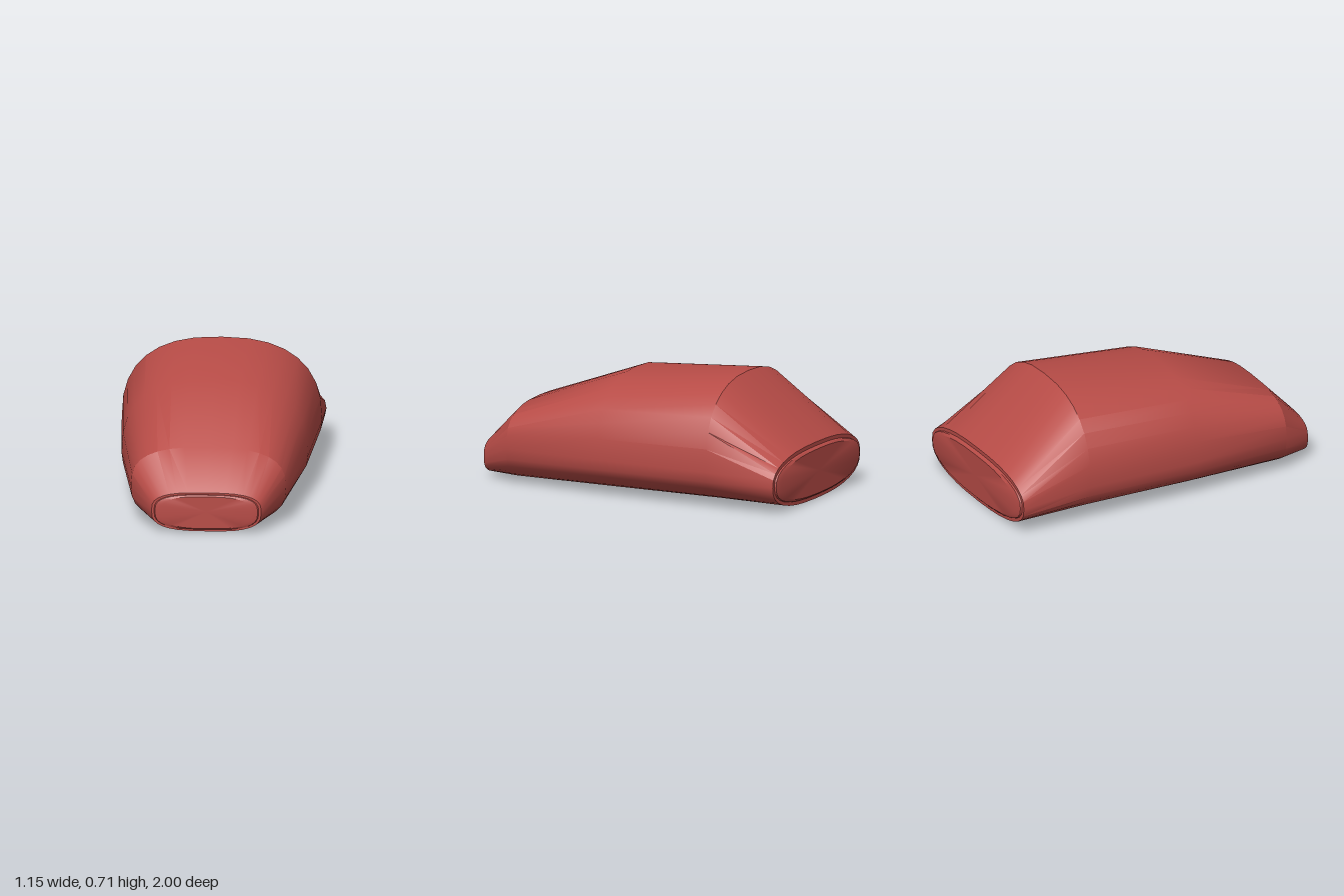
import * as THREE from 'three';
import { toCreasedNormals } from 'three/addons/utils/BufferGeometryUtils.js';

const SIDES = 32;

// Superellipse outline: half width, bottom, widest height, top, exponent
function ring({ z, w, bottom = 0, mid, top, n = 2.5 }) {
  const pow = (v) => Math.sign(v) * Math.abs(v) ** (2 / n);
  const points = [];
  for (let i = 0; i < SIDES; i++) {
    const t = (i / SIDES) * Math.PI * 2;
    const s = Math.sin(t);
    const h = s > 0 ? top - mid : mid - bottom;
    points.push(w * pow(Math.cos(t)), mid + h * pow(s), z);
  }
  return points;
}

// Skin over outlines listed from back to front
function loft(sections) {
  const index = [];
  for (let i = 0; i < sections.length - 1; i++) {
    for (let j = 0; j < SIDES; j++) {
      const k = (j + 1) % SIDES;
      const a = i * SIDES + j, b = i * SIDES + k;
      const c = a + SIDES, d = b + SIDES;
      index.push(a, b, c, b, d, c);
    }
  }
  const geometry = new THREE.BufferGeometry();
  geometry.setAttribute('position', new THREE.Float32BufferAttribute(sections.flatMap(ring), 3));
  geometry.setIndex(index);
  return toCreasedNormals(geometry, 0.5);
}

// Outline shrunk by an inset in x and y
const inset = (s, z, dx, dy) => ({ ...s, z, w: s.w - dx, bottom: s.bottom + dy, top: s.top - dy });
// Outline collapsed to a point, closing a flat end
const pole = (s, z = s.z) => ({ ...s, z, w: 0, bottom: s.mid, top: s.mid });

export function createModel() {
  const group = new THREE.Group();
  group.name = 'shell';
  const material = new THREE.MeshStandardMaterial({ color: 0xb84c47 });
  const add = (name, sections) => {
    const mesh = new THREE.Mesh(loft(sections), material);
    mesh.name = name;
    group.add(mesh);
  };

  const rear = { z: -0.98, w: 0.575, bottom: 0, mid: 0.165, top: 0.33 };
  const nose = { z: 0.985, w: 0.315, bottom: 0.005, mid: 0.125, top: 0.235, n: 3 };

  // Main body with its ends closed
  add('body', [
    pole(rear),
    rear,
    { z: -0.55, w: 0.575, mid: 0.22, top: 0.71 },
    { z: 0.16, w: 0.535, mid: 0.22, top: 0.67 },
    { z: 0.78, w: 0.445, mid: 0.21, top: 0.445, n: 2.8 },
    nose,
    pole(nose),
  ]);

  // Shallow end plates set in from the rim
  const rearFace = inset(rear, -1, 0.075, 0.035);
  add('rearPlate', [pole(rearFace), rearFace, inset(rear, -0.99, 0.025, 0.025), inset(rear, -0.975, 0.02, 0.02)]);

  const noseFace = inset(nose, 1, 0.06, 0.02);
  add('nosePlate', [inset(nose, 0.98, 0.01, 0.01), inset(nose, 0.992, 0.02, 0.012), noseFace, pole(noseFace)]);

  return group;
}
